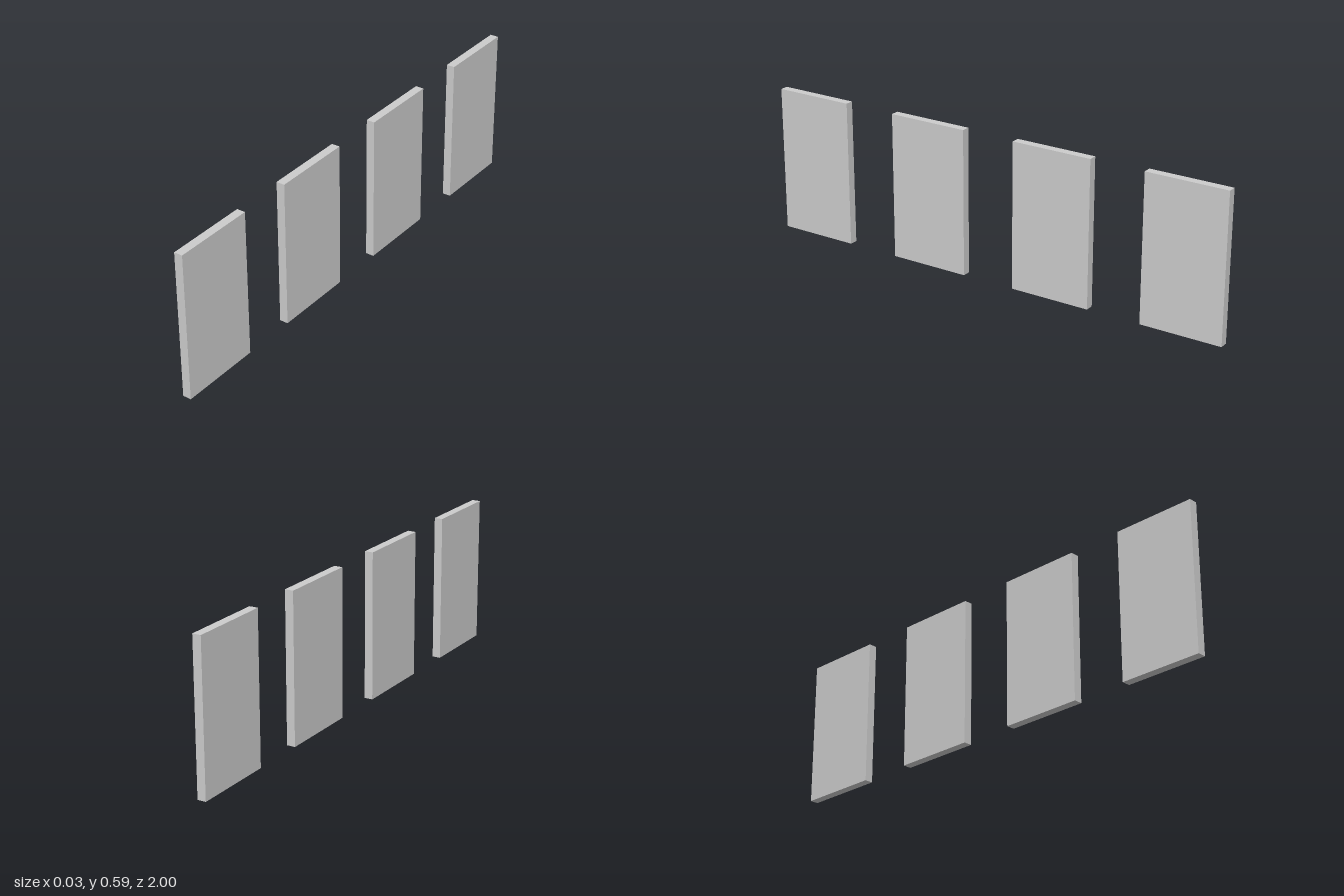
import * as THREE from 'three';

const COUNT = 4;
const THICKNESS = 0.034, HEIGHT = 0.594, WIDTH = 1 / 3;
const PITCH = (2 - WIDTH) / (COUNT - 1);

export function createModel() {
  const group = new THREE.Group();
  group.name = 'panelRow';
  const material = new THREE.MeshStandardMaterial({ color: 0xcccccc, flatShading: true });
  const geometry = new THREE.BoxGeometry(THICKNESS, HEIGHT, WIDTH);

  // Evenly spaced upright panels, from front to back
  for (let i = 0; i < COUNT; i++) {
    const panel = new THREE.Mesh(geometry, material);
    panel.name = `panel${i + 1}`;
    panel.position.set(0, HEIGHT / 2, 1 - WIDTH / 2 - i * PITCH);
    group.add(panel);
  }
  return group;
}
